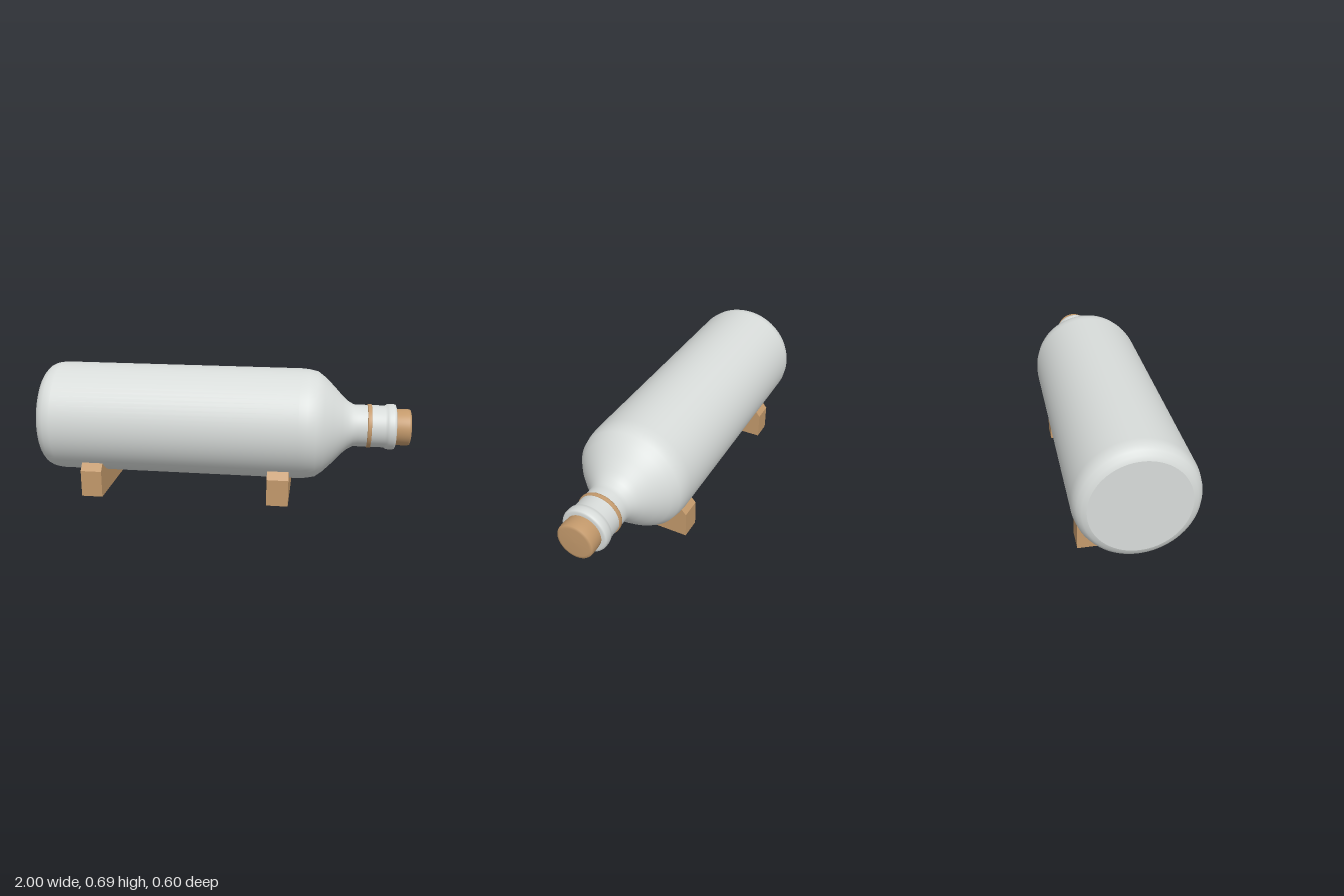
import * as THREE from 'three';

const AXIS_Y = 0.39;

const glass = new THREE.MeshStandardMaterial({ color: 0xd8dcda });
glass.name = 'paleGrey';
const wood = new THREE.MeshStandardMaterial({ color: 0xc49a6c });
wood.name = 'corkBrown';

// Turned part lying along x; profile points are [x, radius].
// A repeated point makes a sharp edge.
function turned(name, profile, material) {
  const points = profile.map(([x, r]) => new THREE.Vector2(r, x));
  const geometry = new THREE.LatheGeometry(points, 72);
  geometry.rotateZ(-Math.PI / 2);
  const mesh = new THREE.Mesh(geometry, material);
  mesh.name = name;
  mesh.position.y = AXIS_Y;
  return mesh;
}

// Stand with chamfered shoulders and a round saddle
function cradle(name, x) {
  const width = 0.115, saddle = 0.3, tip = 0.217;
  const tipY = AXIS_Y - Math.sqrt(saddle * saddle - tip * tip);
  const angle = Math.atan2(tipY - AXIS_Y, tip);
  const shape = new THREE.Shape();
  shape.moveTo(-0.25, 0);
  shape.lineTo(0.25, 0);
  shape.lineTo(0.25, 0.145);
  shape.lineTo(tip, tipY);
  shape.absarc(0, AXIS_Y, saddle, angle, -Math.PI - angle, true);
  shape.lineTo(-0.25, 0.145);
  shape.closePath();
  const geometry = new THREE.ExtrudeGeometry(shape, { depth: width, bevelEnabled: false, curveSegments: 32 });
  geometry.translate(0, 0, -width / 2);
  geometry.rotateY(Math.PI / 2);
  const mesh = new THREE.Mesh(geometry, wood);
  mesh.name = name;
  mesh.position.x = x;
  return mesh;
}

export function createModel() {
  const model = new THREE.Group();
  model.name = 'bottleOnStand';

  // Body, shoulder, neck and lip in one profile
  model.add(turned('bottle', [
    [-1, 0], [-1, 0.24], [-1, 0.24],
    [-0.992, 0.262], [-0.975, 0.281], [-0.95, 0.293], [-0.91, 0.3],
    [0.41, 0.3], [0.455, 0.296], [0.5, 0.286], [0.54, 0.256], [0.585, 0.212],
    [0.635, 0.158], [0.665, 0.131], [0.695, 0.114], [0.72, 0.113],
    [0.86, 0.113], [0.872, 0.121], [0.885, 0.123], [0.905, 0.123],
    [0.916, 0.119], [0.92, 0.11], [0.92, 0.09],
  ], glass));

  // Thin band round the neck
  model.add(turned('neckRing', [
    [0.769, 0.11], [0.769, 0.116], [0.773, 0.118],
    [0.787, 0.118], [0.791, 0.116], [0.791, 0.11],
  ], wood));

  // Stopper with a softly rounded end
  model.add(turned('cork', [
    [0.9, 0.095], [0.925, 0.096], [0.95, 0.098], [0.985, 0.098],
    [0.995, 0.094], [0.999, 0.08], [1, 0],
  ], wood));

  model.add(cradle('rearCradle', -0.707));
  model.add(cradle('neckCradle', 0.308));
  return model;
}
